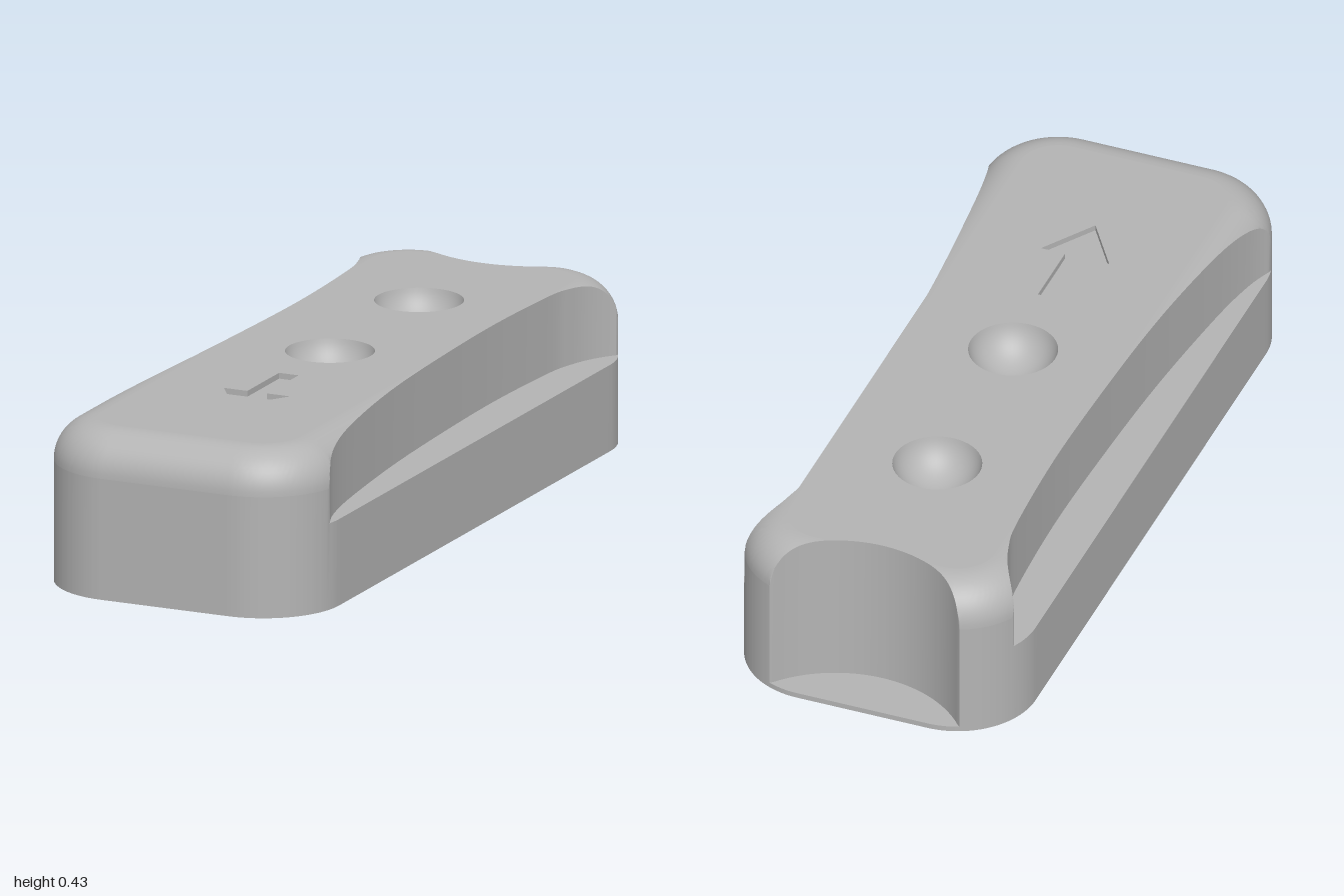
import * as THREE from 'three';
import { toCreasedNormals } from 'three/addons/utils/BufferGeometryUtils.js';

const W = 0.385, L = 1, CORNER = 0.21;      // half width, half length, plan corner radius
const TOP = 0.425, FILLET = 0.11;           // height and top edge rounding
const LEDGE = 0.225, SHELF = 0.014;         // side ledge and rear shelf heights
const CX = W - CORNER, CZ = L - CORNER;

// Side grip curve as (z, half width)
const gripPoints = new THREE.SplineCurve([
  [-0.91, 0.4], [-0.88, 0.363], [-0.82, 0.322], [-0.75, 0.296], [-0.65, 0.279], [-0.35, 0.268],
  [0, 0.277], [0.3, 0.294], [0.6, 0.325], [0.75, 0.351], [0.83, 0.378], [0.87, 0.4],
].map(([z, w]) => new THREE.Vector2(z, w))).getPoints(220);

function gripWidth(z) {
  const i = gripPoints.findIndex((p) => p.x >= z);
  if (i <= 0) return 1;
  const a = gripPoints[i - 1], b = gripPoints[i];
  return a.y + (b.y - a.y) * (z - a.x) / (b.x - a.x);
}

// Rear scoop: circular arc in plan
const SCOOP_R = 0.324, SCOOP_Z = -1.186;
const scoopZ = (x) => (Math.abs(x) < SCOOP_R ? SCOOP_Z + Math.sqrt(SCOOP_R ** 2 - x * x) : -2);

// Rounded rectangle outline: position and outward normal, running from +x towards +z
function makeOutline() {
  const pts = [], ARC = 40;
  const corners = [[1, 1], [-1, 1], [-1, -1], [1, -1]];
  corners.forEach(([sx, sz], k) => {
    for (let i = 0; i <= ARC; i++) {
      const a = (k + i / ARC) * Math.PI / 2, nx = Math.cos(a), nz = Math.sin(a);
      pts.push({ x: sx * CX + CORNER * nx, z: sz * CZ + CORNER * nz, nx, nz });
    }
    const a = pts[pts.length - 1], [tx, tz] = corners[(k + 1) % 4];
    const bx = tx * CX + CORNER * a.nx, bz = tz * CZ + CORNER * a.nz;
    const n = k % 2 ? 120 : 48;
    for (let i = 1; i < n; i++) {
      pts.push({ x: a.x + (bx - a.x) * i / n, z: a.z + (bz - a.z) * i / n, nx: a.nx, nz: a.nz });
    }
  });
  return pts;
}

const cutScoop = (p) => ({ x: p.x, z: Math.max(p.z, scoopZ(p.x) * (p.z < 0 ? 1 : 9)) });
function cutAll(p) {
  const q = cutScoop(p), w = gripWidth(q.z);
  return { x: THREE.MathUtils.clamp(q.x, -w, w), z: q.z };
}

// Height of the rounded top above a plan position
function topHeight({ x, z }) {
  const qx = Math.abs(x) - CX, qz = Math.abs(z) - CZ;
  const inset = CORNER - Math.hypot(Math.max(qx, 0), Math.max(qz, 0)) - Math.min(Math.max(qx, qz), 0);
  const t = FILLET - THREE.MathUtils.clamp(inset, 0, FILLET);
  return TOP - FILLET + Math.sqrt(Math.max(0, FILLET ** 2 - t * t));
}

const atHeight = (ring, y) => ring.map((p) => new THREE.Vector3(p.x, y, p.z));

// Closed surfaces between successive rings, skipping collapsed faces
function loft(rings, crease) {
  const pos = [], u = new THREE.Vector3(), v = new THREE.Vector3();
  const tri = (a, b, c) => {
    u.subVectors(b, a).cross(v.subVectors(c, a));
    if (u.length() > 1e-9) for (const p of [a, b, c]) pos.push(p.x, p.y, p.z);
  };
  for (let k = 0; k + 1 < rings.length; k++) {
    const A = rings[k], B = rings[k + 1];
    A.forEach((_, i) => {
      const j = (i + 1) % A.length;
      tri(A[i], B[i], A[j]);
      tri(B[i], B[j], A[j]);
    });
  }
  const g = new THREE.BufferGeometry();
  g.setAttribute('position', new THREE.Float32BufferAttribute(pos, 3));
  return toCreasedNormals(g, crease);
}

// Flat horizontal face, looking up
function plate(ring, y, holes = []) {
  const flat = (r) => r.map((p) => new THREE.Vector2(p.x, -p.z));
  const shape = new THREE.Shape(flat(ring));
  shape.holes = holes.map((h) => new THREE.Path(flat(h)));
  return new THREE.ShapeGeometry(shape).rotateX(-Math.PI / 2).translate(0, y, 0);
}

export function createModel() {
  const group = new THREE.Group();
  const grey = new THREE.MeshStandardMaterial({ color: 0xb4b4b4 });
  grey.name = 'plain grey';
  const add = (name, geometry) => {
    const mesh = new THREE.Mesh(geometry, grey);
    mesh.name = name;
    group.add(mesh);
    return mesh;
  };

  const outline = makeOutline();
  const scooped = outline.map(cutScoop);
  const waisted = outline.map(cutAll);

  // Lower body, rear shelf, side ledges and the walls above them
  add('bodyWalls', loft([
    atHeight(outline, 0), atHeight(outline, SHELF), atHeight(scooped, SHELF),
    atHeight(scooped, LEDGE), atHeight(waisted, LEDGE),
    waisted.map((p) => new THREE.Vector3(p.x, topHeight(p), p.z)),
  ], 0.5));

  // Rounded top edge, trimmed by the grips and the scoop
  const edgeRings = [];
  let inner;
  const STEPS = 14;
  for (let k = 0; k <= STEPS; k++) {
    const d = FILLET * (1 - Math.cos(k / STEPS * Math.PI / 2));
    inner = outline.map((p) => cutAll({ x: p.x - p.nx * d, z: p.z - p.nz * d }));
    edgeRings.push(inner.map((p) => new THREE.Vector3(p.x, topHeight(p), p.z)));
  }
  add('roundedTopEdge', loft(edgeRings, 0.6));

  // Arrow pocket
  const arrow = [[0.027, 0.275], [-0.027, 0.275], [-0.027, 0.46], [-0.092, 0.46],
    [0, 0.6], [0.092, 0.46], [0.027, 0.46]].map(([x, z]) => ({ x, z }));
  const POCKET = TOP - 0.015;
  add('arrowPocketWalls', loft([atHeight(arrow, POCKET), atHeight(arrow, TOP)], 0.1));
  add('arrowPocketFloor', plate(arrow, POCKET));

  // Round dimples: spherical bowls sunk in the top
  const R = 0.113, DEPTH = 0.09, SEG = 48;
  const sphere = (R * R + DEPTH * DEPTH) / (2 * DEPTH), rimAngle = Math.asin(R / sphere);
  const bowl = [];
  for (let i = 16; i >= 0; i--) {
    const a = rimAngle * i / 16;
    bowl.push(new THREE.Vector2(sphere * Math.sin(a), sphere * (1 - Math.cos(a)) - DEPTH));
  }
  const holes = [arrow];
  for (const z of [-0.485, 0.035]) {
    add('dimple', new THREE.LatheGeometry(bowl, SEG)).position.set(0, TOP, z);
    holes.push(Array.from({ length: SEG }, (_, i) => {
      const a = i / SEG * Math.PI * 2;
      return { x: R * Math.sin(a), z: z + R * Math.cos(a) };
    }));
  }

  // Flat top and underside
  add('topFace', plate(inner, TOP, holes));
  add('underside', plate(outline, 0).rotateX(Math.PI));
  return group;
}
